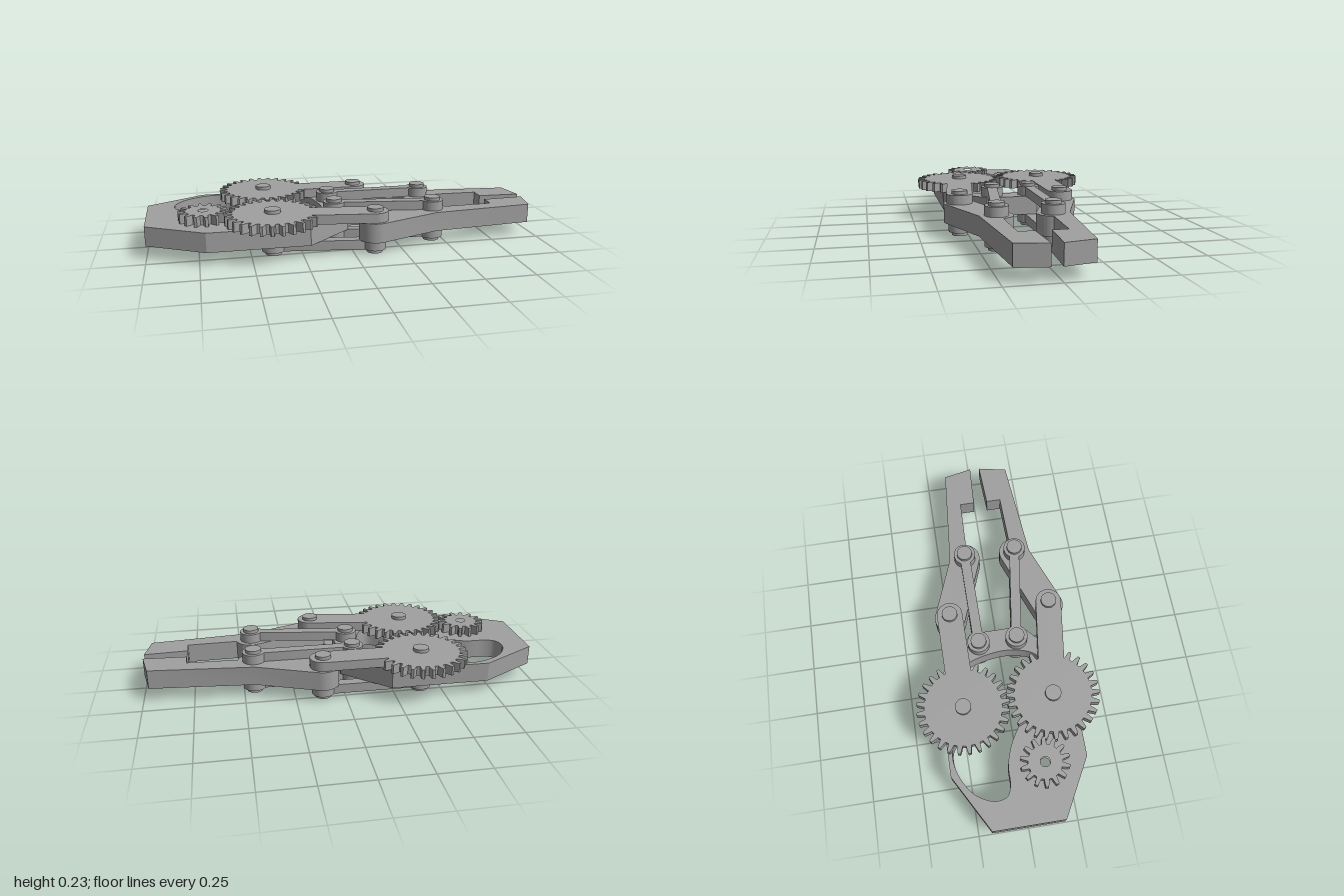
import * as THREE from 'three';
import { toCreasedNormals } from 'three/addons/utils/BufferGeometryUtils.js';

// Layer heights: rivet foot, lower links, body, upper links and gears, rivet head
const FOOT = 0, LOW = 0.018, MID = 0.067, HIGH = 0.165, TOP = 0.213, HEAD = 0.23;

const vectors = (pts) => pts.map(([x, z]) => new THREE.Vector2(x, -z));

function arc(cx, cz, r, a0, a1, n = 24) {
  return Array.from({ length: n + 1 }, (_, i) => {
    const a = a0 + ((a1 - a0) * i) / n;
    return [cx + r * Math.cos(a), cz + r * Math.sin(a)];
  });
}
const circle = (x, z, r) => arc(x, z, r, 0, Math.PI * 2, 40).slice(0, -1);

// Flat plate cut from an x/z outline between two heights
function plate(outline, holes, y0, y1) {
  const shape = new THREE.Shape(vectors(outline));
  shape.holes = holes.map((h) => new THREE.Path(vectors(h)));
  const geo = new THREE.ExtrudeGeometry(shape, { depth: y1 - y0, bevelEnabled: false });
  geo.rotateX(-Math.PI / 2).translate(0, y0, 0);
  return toCreasedNormals(geo, 0.35);
}

// Toothed wheel outline with tapered teeth
function gearOutline(cx, cz, root, tip, teeth, phase) {
  const pts = [];
  const step = (Math.PI * 2) / teeth;
  const profile = [[-0.32, root], [-0.22, root + (tip - root) * 0.55], [-0.13, tip],
    [0.13, tip], [0.22, root + (tip - root) * 0.55], [0.32, root]];
  for (let i = 0; i < teeth; i++) {
    for (const [t, r] of profile) {
      const a = (i + t) * step + phase;
      pts.push([cx + r * Math.cos(a), cz + r * Math.sin(a)]);
    }
  }
  return pts;
}

export function createModel() {
  const model = new THREE.Group();
  model.name = 'gripper';
  const grey = new THREE.MeshStandardMaterial({ color: 0xa0a0a0 });
  grey.name = 'grey';

  const add = (name, geo, parent = model) => {
    const mesh = new THREE.Mesh(geo, grey);
    mesh.name = name;
    parent.add(mesh);
    return mesh;
  };

  // Bar with rounded ends between two pivots
  const bar = (name, [ax, az], [bx, bz], r, y0, y1, parent) => {
    const d = Math.atan2(bz - az, bx - ax);
    const q = Math.PI / 2;
    add(name, plate([...arc(bx, bz, r, d - q, d + q), ...arc(ax, az, r, d + q, d + 3 * q)], [], y0, y1), parent);
  };
  const disc = (name, [x, z], r, y0, y1, parent) => {
    const geo = new THREE.CylinderGeometry(r, r, y1 - y0, 40);
    add(name, geo.translate(x, (y0 + y1) / 2, z), parent);
  };
  // Thin bar with a round eye at each end
  const link = (name, a, b, y0, y1, parent) => {
    bar(name, a, b, 0.026, y0, y1, parent);
    for (const p of [a, b]) disc(name + 'Eye', p, 0.057, y0, y1, parent);
  };

  // Base plate with a curved opening and a round motor recess underneath
  const outline = [[-1, -0.182], [-0.715, -0.342], [-0.22, -0.342], [0.005, -0.14],
    [0.005, 0.13], [-0.22, 0.335], [-0.715, 0.335], [-1, 0.178]];
  const opening = new THREE.CatmullRomCurve3([
    [-0.6, -0.318], [-0.7, -0.308], [-0.81, -0.245], [-0.862, -0.15], [-0.85, -0.085], [-0.8, -0.062],
    [-0.7, -0.056], [-0.6, -0.022], [-0.5, 0.04], [-0.4, 0.11], [-0.28, 0.165], [-0.2, 0.2],
    [-0.15, 0.165], [-0.115, 0.05], [-0.12, -0.06], [-0.15, -0.17], [-0.2, -0.245],
    [-0.28, -0.19], [-0.39, -0.155], [-0.5, -0.2], [-0.55, -0.29],
  ].map(([x, z]) => new THREE.Vector3(x, 0, z)), true)
    .getPoints(120).slice(0, -1).map((p) => [p.x, p.z]);
  const shaft = [-0.72, 0.122];
  const base = new THREE.Group();
  base.name = 'base';
  model.add(base);
  add('baseLower', plate(outline, [opening, circle(...shaft, 0.14)], MID, 0.09), base);
  add('baseUpper', plate(outline, [opening, circle(...shaft, 0.025)], 0.09, HIGH), base);

  // Drive pinion with a shaft hole
  add('pinion', plate(gearOutline(...shaft, 0.085, 0.122, 14, 0.1), [circle(...shaft, 0.025)], HIGH, TOP));

  // Two jaws: s points outward in z
  const jaws = [
    { name: 'backJaw', s: -1, gear: [-0.39, -0.233], arm: [0.11, -0.233], inner: [-0.06, -0.106], phase: 0 },
    { name: 'frontJaw', s: 1, gear: [-0.39, 0.222], arm: [0.107, 0.29], inner: [-0.06, 0.092], phase: 0.112 },
  ];
  for (const { name, s, gear, arm, inner, phase } of jaws) {
    const jaw = new THREE.Group();
    jaw.name = name;
    model.add(jaw);
    const outer = [arm[0] + 0.335, arm[1] - s * 0.126];

    // Gear with its driving arm, and the matching link below
    add('gear', plate(gearOutline(...gear, 0.195, 0.234, 28, phase), [], HIGH, TOP), jaw);
    bar('gearArm', gear, arm, 0.066, HIGH, TOP, jaw);
    link('lowerArm', gear, arm, LOW, MID, jaw);

    // Parallel links above and below
    link('upperLink', inner, outer, HIGH, TOP, jaw);
    link('lowerLink', inner, outer, LOW, MID, jaw);

    // Finger with rounded pivots and a stepped tip
    const slope = Math.atan2(0.126, 0.335);
    const q = Math.PI / 2;
    const finger = [
      ...arc(0, 0, 0.08, slope + q, slope + 3 * q),
      [0.335, 0.043], [0.86, 0.088], [0.89, 0.236], [0.67, 0.225], [0.67, 0.15], [0.412, 0.143],
      ...arc(0.335, 0.126, 0.08, 0.22, slope + q),
    ].map(([u, v]) => [arm[0] + u, arm[1] - s * v]);
    add('finger', plate(finger, [], MID, HIGH), jaw);

    // Rivets through every pivot
    for (const p of [gear, arm, inner, outer]) disc('rivet', p, 0.04, FOOT, HEAD, jaw);
  }
  return model;
}
